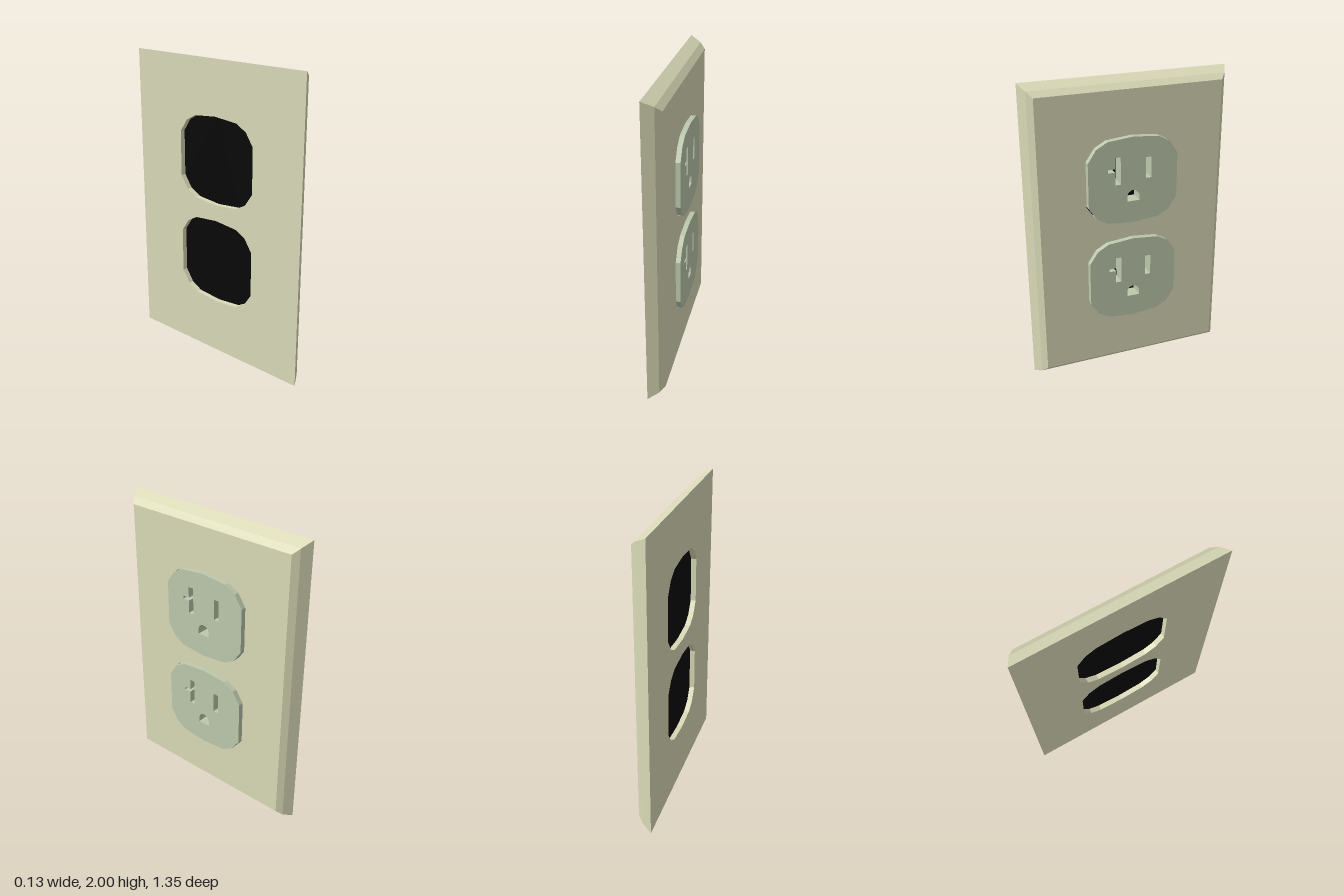
import * as THREE from 'three';

const plateMat = new THREE.MeshStandardMaterial({ color: 0xdadab8, flatShading: true });
const socketMat = new THREE.MeshStandardMaterial({ color: 0xbdc9ad, flatShading: true });
const blackMat = new THREE.MeshStandardMaterial({ color: 0x080808 });

const SOCKET_Y = [0.663, 1.353];

// Quarter outline of a socket face, mirrored into the full loop
function socketOutline(cy = 0, scale = 1) {
  const q = [[0.299, 0.148], [0.244, 0.23], [0.17, 0.271], [0, 0.287]];
  const top = [...q, ...q.slice(0, 3).reverse().map(([x, y]) => [-x, y])];
  const loop = [...top, ...top.filter(([x]) => x !== 0).reverse().map(([x, y]) => [x, -y])];
  loop.push([0, -0.287]);
  loop.sort((a, b) => Math.atan2(a[1], a[0]) - Math.atan2(b[1], b[0]));
  return loop.map(([x, y]) => new THREE.Vector2(x * scale, cy + y * scale));
}

const polygon = (pts) => new THREE.Path(pts.map(([x, y]) => new THREE.Vector2(x, y)));

// Extrude a shape and turn it so that it faces +x, from x0 to x1
function slab(name, shape, x0, x1, material) {
  const geo = new THREE.ExtrudeGeometry(shape, { depth: x1 - x0, bevelEnabled: false, curveSegments: 6 });
  geo.translate(0, 0, x0).rotateY(Math.PI / 2);
  const mesh = new THREE.Mesh(geo, material);
  mesh.name = name;
  return mesh;
}

// Wall plate: three layers, the outer rim stepping inward to form the chamfer
function makePlate() {
  const w = 0.677;
  const shape = new THREE.Shape([[-w, 0], [w, 0], [w, 2], [-w, 2]].map((p) => new THREE.Vector2(...p)));
  for (const y of SOCKET_Y) shape.holes.push(new THREE.Path(socketOutline(y, 1.014)));
  const geo = new THREE.ExtrudeGeometry(shape, { depth: 2, steps: 2, bevelEnabled: false });
  const layerX = [-0.07, 0, 0.035];
  const inset = [0, 0.036, 0.07];
  const p = geo.attributes.position;
  for (let i = 0; i < p.count; i++) {
    const k = Math.round(p.getZ(i));
    const x = p.getX(i), y = p.getY(i);
    if (Math.abs(x) > 0.6) p.setXY(i, x - Math.sign(x) * inset[k], y + (y < 1 ? 1 : -1) * inset[k]);
    p.setZ(i, layerX[k]);
  }
  geo.rotateY(Math.PI / 2);
  geo.computeVertexNormals();
  const mesh = new THREE.Mesh(geo, plateMat);
  mesh.name = 'wallPlate';
  return mesh;
}

// One socket: a face with slots cut through to a dark backing
function makeSocket() {
  const group = new THREE.Group();
  const face = new THREE.Shape(socketOutline());

  // T-shaped slot
  face.holes.push(polygon([
    [-0.122, -0.016], [-0.085, -0.016], [-0.085, 0.164], [-0.122, 0.164],
    [-0.122, 0.09], [-0.168, 0.09], [-0.168, 0.069], [-0.122, 0.069],
  ]));
  // Straight slot
  face.holes.push(polygon([[0.085, 0.005], [0.122, 0.005], [0.122, 0.143], [0.085, 0.143]]));
  // Round-topped ground hole
  const ground = new THREE.Path();
  ground.moveTo(-0.042, -0.138);
  ground.lineTo(0.042, -0.138);
  ground.lineTo(0.042, -0.106);
  ground.absarc(0, -0.106, 0.042, 0, Math.PI, false);
  ground.lineTo(-0.042, -0.138);
  face.holes.push(ground);

  group.add(slab('socketFace', face, -0.03, 0.065, socketMat));
  group.add(slab('socketBacking', new THREE.Shape(socketOutline(0, 1.014)), -0.035, -0.03, blackMat));
  return group;
}

export function createModel() {
  const model = new THREE.Group();
  model.name = 'wallOutlet';
  model.add(makePlate());
  SOCKET_Y.forEach((y, i) => {
    const socket = makeSocket();
    socket.name = i ? 'upperSocket' : 'lowerSocket';
    socket.position.y = y;
    model.add(socket);
  });
  return model;
}
